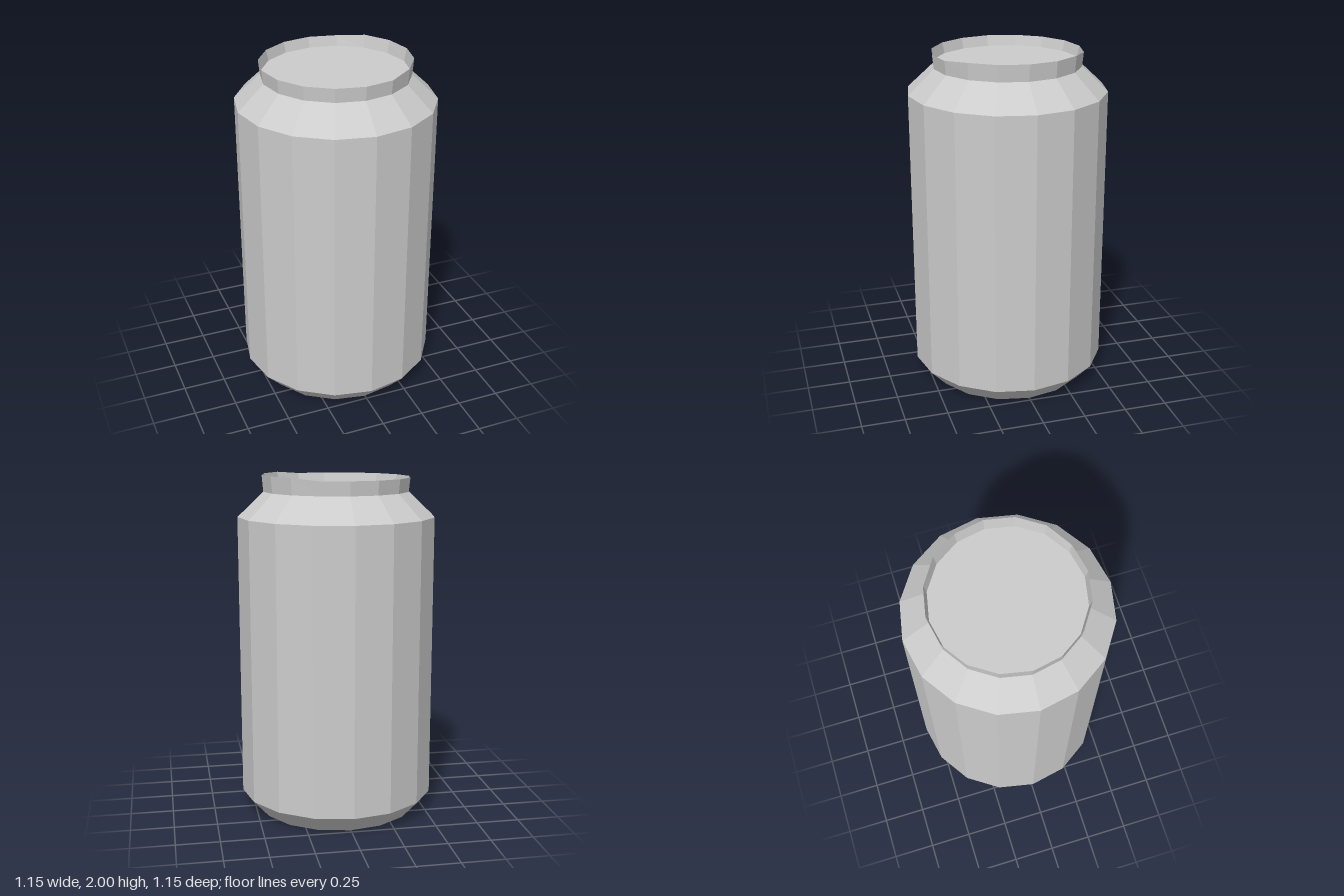
import * as THREE from 'three';

const SIDES = 16;

export function createModel() {
  const group = new THREE.Group();
  group.name = 'drinkCan';
  const metal = new THREE.MeshStandardMaterial({ color: 0xcccccc, flatShading: true });
  metal.name = 'bare metal';

  const add = (name, geometry) => {
    const flat = geometry.toNonIndexed();
    flat.computeVertexNormals();
    const mesh = new THREE.Mesh(flat, metal);
    mesh.name = name;
    group.add(mesh);
  };
  const ring = (...profile) =>
    new THREE.LatheGeometry(profile.map(([r, y]) => new THREE.Vector2(r, y)), SIDES);
  const disc = (radius, y, up) =>
    new THREE.CircleGeometry(radius, SIDES).rotateX(up ? -Math.PI / 2 : Math.PI / 2).translate(0, y, 0);

  // Tapered foot, straight wall and sloping shoulder
  add('base', disc(0.475, 0, false));
  add('foot', ring([0.475, 0], [0.575, 0.11]));
  add('wall', ring([0.575, 0.11], [0.575, 1.763]));
  add('shoulder', ring([0.575, 1.763], [0.424, 1.905]));

  // Thin rim: outer face, then inner face down to the lid, slightly raised on the +x side
  const rim = ring([0.424, 1.905], [0.432, 1.986], [0.418, 1.925]);
  const p = rim.attributes.position;
  for (let i = 0; i < p.count; i++) {
    if (p.getY(i) > 1.95 && p.getX(i) > 0.28) p.setY(i, 2);
  }
  add('rim', rim);

  // Recessed lid
  add('lid', disc(0.418, 1.925, true));

  return group;
}
